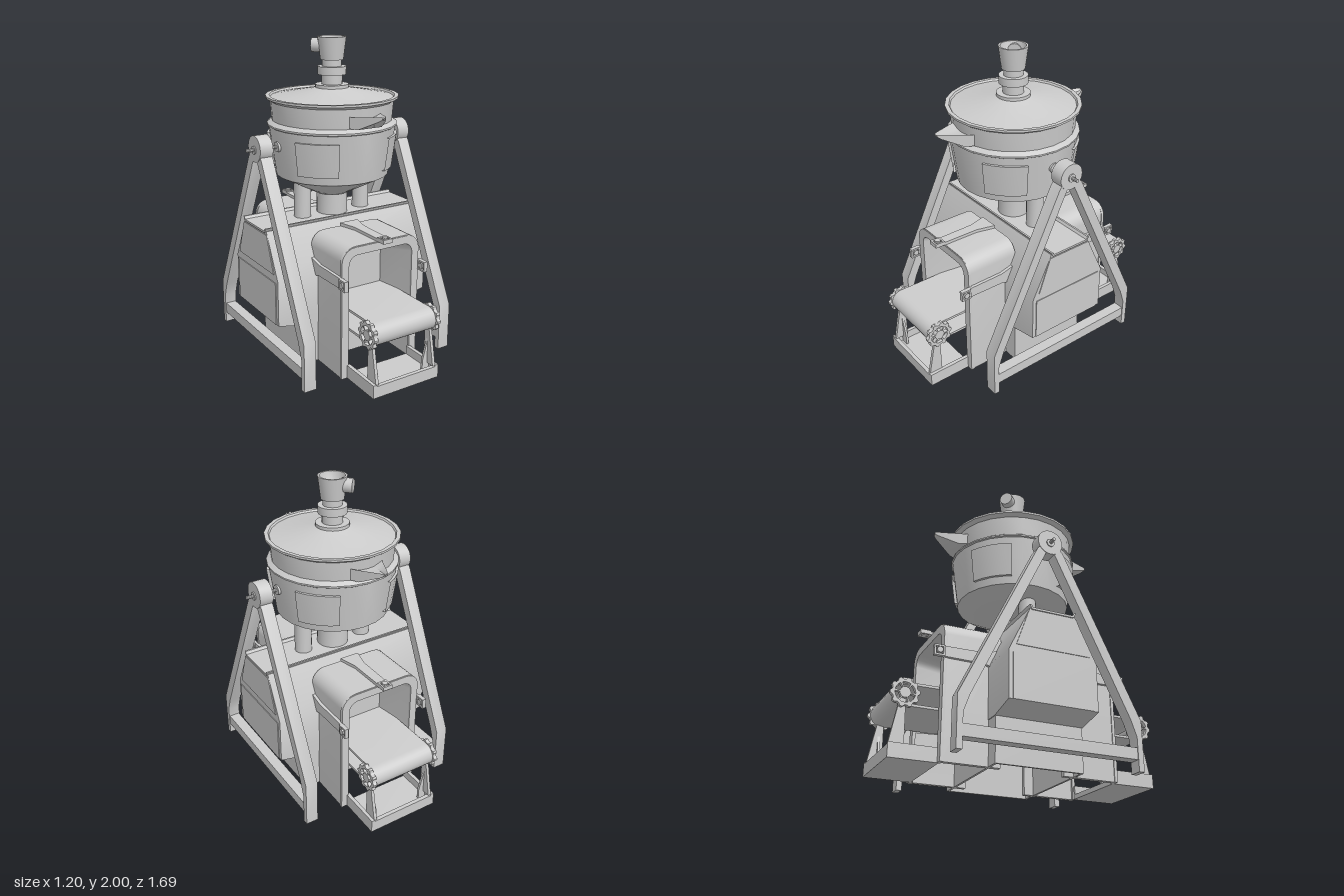
import * as THREE from 'three';
import { toCreasedNormals } from 'three/addons/utils/BufferGeometryUtils.js';

const mat = new THREE.MeshStandardMaterial({ color: 0xcccccc, side: THREE.DoubleSide });

function add(parent, name, geo, x = 0, y = 0, z = 0) {
  const mesh = new THREE.Mesh(toCreasedNormals(geo, 0.6), mat);
  mesh.name = name;
  mesh.position.set(x, y, z);
  parent.add(mesh);
  return mesh;
}
// box given by its extents
function box(parent, name, x0, x1, y0, y1, z0, z1) {
  return add(parent, name, new THREE.BoxGeometry(x1 - x0, y1 - y0, z1 - z0),
    (x0 + x1) / 2, (y0 + y1) / 2, (z0 + z1) / 2);
}
const poly = pts => new THREE.Shape(pts.map(p => new THREE.Vector2(...p)));
const extrude = (shape, depth) =>
  new THREE.ExtrudeGeometry(shape, { depth, bevelEnabled: false, curveSegments: 6 });
// extrude a (z, y) outline along x
const extrudeX = (pts, x0, x1) =>
  extrude(poly(pts.map(([z, y]) => [-z, y])), x1 - x0).rotateY(Math.PI / 2).translate(x0, 0, 0);
const lathe = (pts, n = 24, start = 0, len = Math.PI * 2) =>
  new THREE.LatheGeometry(pts.map(p => new THREE.Vector2(...p)), n, start, len);
const cylX = (r, x0, x1, n = 20) =>
  new THREE.CylinderGeometry(r, r, x1 - x0, n).rotateZ(Math.PI / 2).translate((x0 + x1) / 2, 0, 0);
const mirrored = pts => [...pts, ...pts.map(([a, b]) => [-a, b]).reverse()];

// points of an arch from lower right over the top to lower left
function archPoints(w, y0, y1, r) {
  const half = [[w, y0]];
  for (let i = 0; i <= 6; i++) {
    const a = i * Math.PI / 12;
    half.push([w - r + Math.cos(a) * r, y1 - r + Math.sin(a) * r]);
  }
  return mirrored(half);
}
// arch-shaped frame, open at the bottom
const archFrame = (outer, inner, depth) =>
  extrude(poly([...archPoints(...outer), ...archPoints(...inner).reverse()]), depth);

// quads between rows of points, all rows of equal length
function surface(rows) {
  const n = rows[0].length, index = [];
  for (let i = 0; i < rows.length - 1; i++)
    for (let j = 0; j < n - 1; j++) {
      const a = i * n + j;
      index.push(a, a + n, a + 1, a + 1, a + n, a + n + 1);
    }
  const geo = new THREE.BufferGeometry();
  geo.setAttribute('position', new THREE.Float32BufferAttribute(rows.flat(2), 3));
  geo.setIndex(index);
  return geo;
}

// toothed wheel with spoke openings
function sprocket(r, depth) {
  const pts = [];
  for (let i = 0; i < 40; i++) {
    const a = i * Math.PI / 20, q = i % 4 < 2 ? r : r * 0.86;
    pts.push([Math.cos(a) * q, Math.sin(a) * q]);
  }
  const s = poly(pts);
  for (let i = 0; i < 6; i++) {
    const a = i * Math.PI / 3, h = new THREE.Path();
    h.absarc(0, 0, r * 0.68, a, a + 0.85, false);
    h.absarc(0, 0, r * 0.36, a + 0.85, a, true);
    s.holes.push(h);
  }
  return extrude(s, depth).rotateY(Math.PI / 2);
}

function buildVessel() {
  const g = new THREE.Group();
  g.name = 'vessel';
  add(g, 'bowl', lathe([[0, 1.02], [0.11, 1.02], [0.36, 1.15], [0.402, 1.46], [0.41, 1.465],
    [0.41, 1.475], [0.38, 1.495], [0.39, 1.62], [0.41, 1.635]]));
  add(g, 'lid', lathe([[0.39, 1.615], [0.417, 1.632], [0.417, 1.645], [0.392, 1.645], [0.385, 1.633],
    [0.133, 1.68], [0.105, 1.69], [0.105, 1.71], [0.065, 1.71], [0.065, 1.77], [0.09, 1.77], [0.09, 1.82],
    [0.06, 1.82], [0.06, 1.85], [0, 1.85]]));
  // open funnel on top with its side pipe
  add(g, 'funnel', lathe([[0.06, 1.82], [0.06, 1.86], [0.072, 1.86], [0.09, 2], [0.078, 2],
    [0.062, 1.93], [0.02, 1.875], [0.02, 1.89], [0, 1.89]]));
  const pipe = add(g, 'sidePipe', new THREE.CylinderGeometry(0.044, 0.044, 0.07, 16).rotateX(Math.PI / 2),
    -0.064, 1.945, -0.064);
  pipe.rotation.y = Math.PI / 4;
  // raised access panels around the bowl
  for (let i = 0; i < 4; i++) {
    add(g, 'bowlPanel', lathe([[0.35, 1.2], [0.382, 1.2], [0.41, 1.41], [0.35, 1.41]], 4,
      Math.PI / 4 + i * Math.PI / 2 - 0.34, 0.68));
  }
  add(g, 'outlet', new THREE.CylinderGeometry(0.1, 0.1, 0.14, 24), 0, 0.95, 0);
  for (const s of [-1, 1])
    add(g, 'supportPipe', new THREE.CylinderGeometry(0.055, 0.055, 0.23, 16), s * 0.22, 0.995, 0);
  return g;
}

// everything at one conveyor end, facing +z
function buildEnd() {
  const g = new THREE.Group();
  g.name = 'conveyorEnd';
  add(g, 'tunnel', archFrame([0.275, 0, 0.845, 0.09], [0.245, 0, 0.805, 0.07], 0.355), 0, 0, 0.2);
  add(g, 'tunnelLip', archFrame([0.28, 0, 0.84, 0.09], [0.23, 0, 0.79, 0.06], 0.02), 0, 0, 0.54);
  // lining narrows towards the back
  const lining = [[0.23, 0.79, 0.545], [0.19, 0.735, 0.285]].map(([w, top, z]) =>
    archPoints(w, 0.3, top, 0.06).map(([x, y]) => [x, y, z]));
  add(g, 'tunnelLining', surface(lining));
  box(g, 'tunnelBack', -0.24, 0.24, 0.28, 0.8, 0.275, 0.285);

  // belt loop, axle and sprockets
  const belt = poly([[-0.28, 0.305], [-0.28, 0.32]]);
  belt.absarc(-0.76, 0.375, 0.055, Math.PI * 1.5, Math.PI / 2, true);
  belt.lineTo(-0.28, 0.43);
  belt.lineTo(-0.28, 0.445);
  belt.absarc(-0.76, 0.375, 0.07, Math.PI / 2, Math.PI * 1.5, false);
  add(g, 'belt', extrude(belt, 0.43).rotateY(Math.PI / 2), -0.215, 0, 0);
  add(g, 'axle', cylX(0.02, -0.235, 0.235, 12), 0, 0.375, 0.76);
  for (const s of [-1, 1]) {
    add(g, 'sprocket', sprocket(0.087, 0.025), s * 0.2275 - 0.0125, 0.375, 0.76);
    add(g, 'sprocketPost', extrudeX([[0.745, 0.08], [0.835, 0.08], [0.775, 0.38], [0.75, 0.38]],
      s * 0.21 - 0.01, s * 0.21 + 0.01));
    add(g, 'postGusset', extrude(poly([[s * 0.22, 0.03], [s * 0.22, 0.32], [s * 0.165, 0.1], [s * 0.165, 0.03]]), 0.015),
      0, 0, 0.765);
    box(g, 'trayRail', s * 0.228 - 0.012, s * 0.228 + 0.012, 0, 0.085, 0.55, 0.84);
  }
  // base tray
  box(g, 'trayFloor', -0.24, 0.24, 0, 0.03, 0.55, 0.84);
  box(g, 'trayFront', -0.24, 0.24, 0, 0.075, 0.815, 0.84);

  // clamps and tapering straps: top, left, right
  const ring = poly([[-0.033, -0.033], [0.033, -0.033], [0.033, 0.033], [-0.033, 0.033]]);
  ring.holes.push(poly([[-0.022, -0.022], [-0.022, 0.022], [0.022, 0.022], [0.022, -0.022]]));
  for (const [a, x, y] of [[0, 0, 0.845], [-Math.PI / 2, 0.275, 0.635], [Math.PI / 2, -0.275, 0.635]]) {
    const c = new THREE.Group();
    c.name = 'clamp';
    c.position.set(x, y, 0);
    c.rotation.z = a;
    add(c, 'strap', extrude(poly([[-0.065, -0.2], [0.065, -0.2], [0.035, -0.32], [0.032, -0.56],
      [-0.032, -0.56], [-0.035, -0.32]]), 0.02).rotateX(-Math.PI / 2));
    add(c, 'clampFrame', extrude(ring, 0.026).rotateX(-Math.PI / 2), 0, 0.002, 0.592);
    add(c, 'clampKnob', new THREE.CylinderGeometry(0.019, 0.019, 0.035, 8), 0, 0.017, 0.592);
    g.add(c);
  }

  // pouring spout: a blunt trough, folded underneath
  const rows = [[0.37, 0.11, 1.57, 0.05, 1.55, 1.5], [0.42, 0.085, 1.575, 0.04, 1.553, 1.5],
    [0.54, 0.025, 1.588, 0.012, 1.57, 1.56], [0.56, 0.012, 1.59, 0.004, 1.58, 1.575]];
  add(g, 'spout', surface(rows.map(([z, w, rim, fw, floor, low]) => [
    [0, low, z], [w, low, z], [w, rim, z], [fw, floor, z],
    [-fw, floor, z], [-w, rim, z], [-w, low, z], [0, low, z]])));
  return g;
}

// A-frame, trunnion and housing panels on the +x side
function buildSide() {
  const g = new THREE.Group();
  g.name = 'sideFrame';
  const leg = [[0, 1.34], [0.5, 0.3], [0.535, 0.2], [0.535, 0], [0.57, 0], [0.57, 0.3], [0.085, 1.3], [0, 1.4]];
  for (const s of [-1, 1])
    add(g, 'frameLeg', extrudeX(leg.map(([z, y]) => [s * z, y]), 0.465, 0.545));
  box(g, 'crossBar', 0.47, 0.54, 0.07, 0.14, -0.55, 0.55);
  add(g, 'bearing', cylX(0.082, 0.462, 0.548, 24), 0, 1.36, 0);
  add(g, 'bearingCap', cylX(0.026, 0.54, 0.555, 16), 0, 1.355, 0);
  add(g, 'trunnion', cylX(0.011, 0.35, 0.6, 10), 0, 1.355, 0);
  add(g, 'trunnionHub', cylX(0.032, 0.36, 0.4, 16), 0, 1.355, 0);
  // panels on the housing
  add(g, 'upperPanel', extrudeX(mirrored([[0.235, 0.635], [0.155, 0.86]]), 0.55, 0.56));
  box(g, 'lowerPanel', 0.55, 0.56, 0.31, 0.585, -0.255, 0.255);
  // lower body wall
  box(g, 'lowerWall', 0.355, 0.37, 0, 0.29, -0.275, 0.275);
  return g;
}

export function createModel() {
  const model = new THREE.Group();
  model.name = 'mixingMachine';

  // central housing with sloping shoulders and underside
  add(model, 'housing', extrudeX(mirrored([[0.28, 0.31], [0.28, 0.6], [0.145, 0.88]]), -0.555, 0.555));
  add(model, 'housingUnderside', extrude(poly([[-0.555, 0.31], [-0.37, 0.27], [0.37, 0.27], [0.555, 0.31]]), 0.56),
    0, 0, -0.28);
  // shallow tray on the housing roof
  add(model, 'topTray', extrudeX(mirrored([[0.135, 0.87], [0.152, 0.9], [0.14, 0.9], [0.13, 0.883]]), -0.563, 0.563));
  // end walls of the open-bottomed lower body
  for (const s of [-1, 1])
    box(model, 'lowerEndWall', -0.37, 0.37, 0, 0.29, s * 0.268 - 0.007, s * 0.268 + 0.007);

  model.add(buildVessel());
  for (const turn of [0, Math.PI]) {
    for (const part of [buildEnd(), buildSide()]) {
      part.rotation.y = turn;
      model.add(part);
    }
  }
  return model;
}
